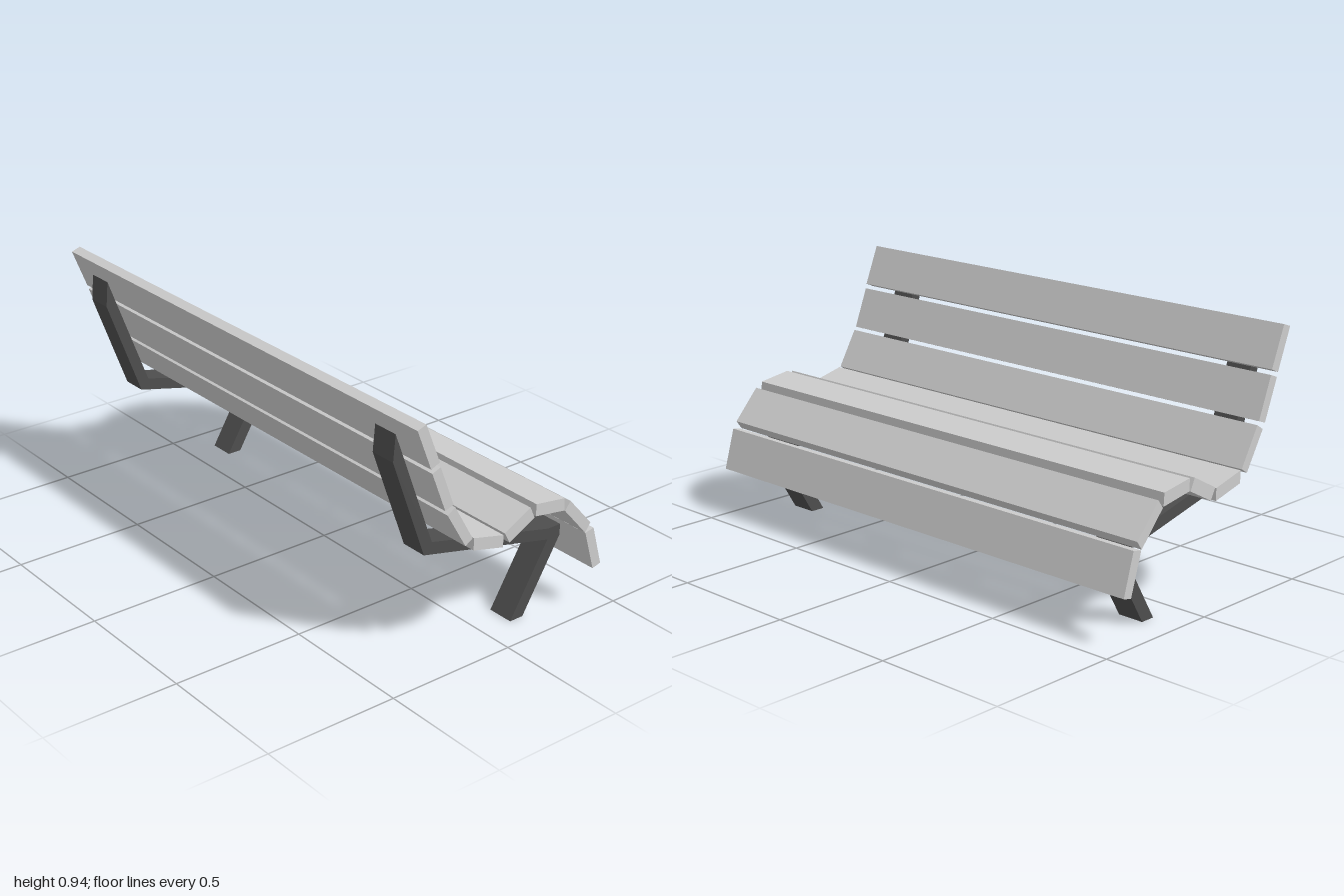
import * as THREE from 'three';

const plankMaterial = new THREE.MeshStandardMaterial({ color: 0xcccccc });
const frameMaterial = new THREE.MeshStandardMaterial({ color: 0x4d4d4d });

// Side profile (x, y) extruded along z and centred on the given z
function extrudeProfile(name, points, depth, z, material) {
  const shape = new THREE.Shape(points.map(([x, y]) => new THREE.Vector2(x, y)));
  const geometry = new THREE.ExtrudeGeometry(shape, { depth, bevelEnabled: false });
  geometry.translate(0, 0, -depth / 2);
  const mesh = new THREE.Mesh(geometry, material);
  mesh.name = name;
  mesh.position.z = z;
  return mesh;
}

export function createModel() {
  const bench = new THREE.Group();
  bench.name = 'bench';

  // Slat end sections, from the top of the back to the front lip
  const slats = [
    ['backSlatTop', [[-0.422, 0.926], [-0.387, 0.938], [-0.328, 0.792], [-0.363, 0.777]]],
    ['backSlatMiddle', [[-0.358, 0.761], [-0.324, 0.774], [-0.266, 0.625], [-0.3, 0.613]]],
    ['backSlatBottom', [[-0.289, 0.593], [-0.258, 0.613], [-0.179, 0.476], [-0.209, 0.457]]],
    ['seatSlatRear', [[-0.173, 0.474], [-0.043, 0.442], [-0.043, 0.397], [-0.173, 0.429]]],
    ['seatSlatRising', [[-0.037, 0.446], [0.074, 0.505], [0.094, 0.462], [-0.015, 0.405]]],
    ['seatSlatCrest', [[0.1, 0.509], [0.229, 0.49], [0.232, 0.443], [0.1, 0.464]]],
    ['seatSlatFalling', [[0.258, 0.471], [0.36, 0.357], [0.337, 0.325], [0.235, 0.44]]],
    ['frontLipSlat', [[0.339, 0.323], [0.377, 0.331], [0.421, 0.18], [0.385, 0.171]]],
  ];
  for (const [name, points] of slats) {
    bench.add(extrudeProfile(name, points, 2, 0, plankMaterial));
  }

  // Bent support: back post, seat rail and slanted leg in one piece
  const support = [
    [-0.407, 0.866], [-0.416, 0.77], [-0.279, 0.395], [0.281, 0.266], [0.122, 0],
    [0.179, 0], [0.338, 0.266], [0.338, 0.308], [0.281, 0.308], [-0.246, 0.433],
  ];
  for (const side of [-1, 1]) {
    const name = side > 0 ? 'supportFrameFront' : 'supportFrameBack';
    bench.add(extrudeProfile(name, support, 0.1, side * 0.83, frameMaterial));
  }

  return bench;
}
